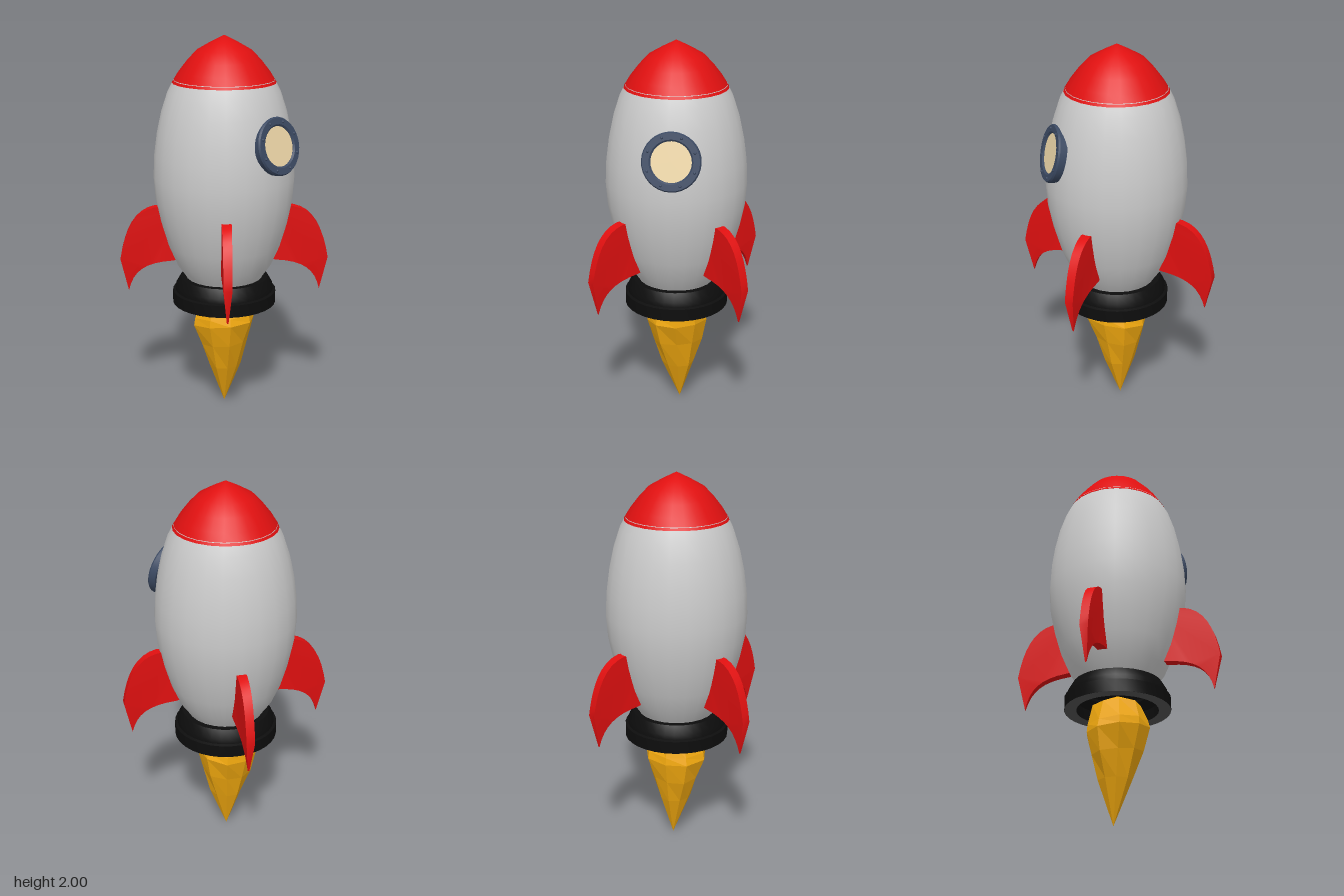
import * as THREE from 'three';
import { toCreasedNormals } from 'three/addons/utils/BufferGeometryUtils.js';

const mat = (color, extra = {}) => new THREE.MeshStandardMaterial({ color, ...extra });
const grey = mat(0xcccccc, { side: THREE.DoubleSide });
const red = mat(0xe01010);
const black = mat(0x0d0d0d, { side: THREE.DoubleSide });
const darkGrey = mat(0x555555);
const navy = mat(0x3c4a63);
const cream = mat(0xf0d9aa);
const orange = mat(0xf2a90f, { flatShading: true });

function part(parent, name, geometry, material) {
  const mesh = new THREE.Mesh(geometry, material);
  mesh.name = name;
  parent.add(mesh);
  return mesh;
}

// Revolved profile of [radius, height] pairs, listed so outer walls run upward
function lathe(points, segments, crease) {
  const g = new THREE.LatheGeometry(points.map(([r, y]) => new THREE.Vector2(r, y)), segments);
  return crease ? toCreasedNormals(g, crease) : g;
}

// Curved swept fin in its own radius/height plane, thinning toward the tip
function finGeometry() {
  const s = new THREE.Shape();
  s.moveTo(0.22, 1.12);
  s.lineTo(0.36, 1.12);
  s.bezierCurveTo(0.47, 1.10, 0.52, 0.99, 0.545, 0.84);
  s.lineTo(0.505, 0.66);
  s.bezierCurveTo(0.48, 0.77, 0.42, 0.82, 0.27, 0.83);
  s.lineTo(0.22, 0.84);
  s.closePath();
  const g = new THREE.ExtrudeGeometry(s, { depth: 1, bevelEnabled: false, curveSegments: 8 });
  g.translate(0, 0, -0.5);
  const p = g.attributes.position;
  for (let i = 0; i < p.count; i++) {
    const byHeight = THREE.MathUtils.clamp((p.getY(i) - 0.62) / 0.22, 0.1, 1);
    const byRadius = 1 - 0.7 * Math.max(0, p.getX(i) - 0.3);
    p.setZ(i, p.getZ(i) * 0.052 * byHeight * byRadius);
  }
  return toCreasedNormals(g, 0.6);
}

// Faceted teardrop with slightly uneven sides and a tip that drifts off centre
function flameGeometry() {
  const g = lathe([[0, 0.005], [0.085, 0.23], [0.13, 0.37], [0.165, 0.49], [0.158, 0.53], [0.125, 0.62], [0, 0.68]], 9);
  const p = g.attributes.position;
  for (let i = 0; i < p.count; i++) {
    const x = p.getX(i), y = p.getY(i), z = p.getZ(i);
    const k = 1 + 0.05 * Math.sin(3 * Math.atan2(z, x) + y * 14);
    const lean = 1 - Math.min(y / 0.5, 1);
    p.setXYZ(i, x * k - 0.01 * lean, y + 0.12 * x * (y > 0.3 && y < 0.6 ? 1 : 0), z * k - 0.02 * lean);
  }
  return g;
}

export function createModel() {
  const rocket = new THREE.Group();
  rocket.name = 'rocket';

  // Hull and nose
  part(rocket, 'body', lathe([
    [0.19, 0.72], [0.205, 0.75], [0.25, 0.815], [0.295, 0.92], [0.33, 1.04], [0.355, 1.16], [0.364, 1.28],
    [0.358, 1.4], [0.343, 1.51], [0.319, 1.62], [0.286, 1.72], [0.255, 1.78],
  ], 24), grey);
  part(rocket, 'noseCone', lathe([
    [0, 1.765], [0.264, 1.765], [0.23, 1.82], [0.187, 1.875], [0.14, 1.925], [0.07, 1.965], [0, 2],
  ], 24, 0.9), red);

  // Engine nozzle, hollow below
  part(rocket, 'nozzle', lathe([
    [0.272, 0.6], [0.272, 0.665], [0.258, 0.67], [0.256, 0.695], [0.23, 0.74], [0.17, 0.74],
    [0.17, 0.7], [0.21, 0.66], [0.21, 0.6],
  ], 32, 0.5), black);
  part(rocket, 'nozzleRim', lathe([[0.21, 0.6], [0.272, 0.599]], 32), darkGrey);
  const cap = part(rocket, 'nozzleInside', new THREE.CircleGeometry(0.2, 24), black);
  cap.rotation.x = Math.PI / 2;
  cap.position.y = 0.715;
  part(rocket, 'flame', flameGeometry(), orange);

  // Four fins
  const fin = finGeometry();
  for (let i = 0; i < 4; i++) {
    part(rocket, 'fin', fin, red).rotation.y = THREE.MathUtils.degToRad(30) + i * Math.PI / 2;
  }

  // Porthole, built facing +z, then turned to sit on the hull
  const porthole = new THREE.Group();
  porthole.name = 'porthole';
  const frame = part(porthole, 'windowFrame', lathe([
    [0.1, -0.03], [0.143, -0.03], [0.146, 0.006], [0.14, 0.015], [0.108, 0.015], [0.1, 0.008], [0.1, -0.03],
  ], 32, 0.5), navy);
  frame.rotation.x = Math.PI / 2;
  part(porthole, 'windowGlass', new THREE.CircleGeometry(0.102, 32), cream).position.z = 0.006;
  const bolt = new THREE.SphereGeometry(0.007, 8, 6);
  for (let i = 0; i < 8; i++) {
    const a = (i + 0.5) * Math.PI / 4;
    part(porthole, 'bolt', bolt, navy).position.set(0.124 * Math.cos(a), 0.124 * Math.sin(a), 0.015);
  }
  porthole.position.set(0.338, 1.482, 0.073);
  porthole.lookAt(porthole.position.clone().add(new THREE.Vector3(0.94, 0.23, 0.27)));
  rocket.add(porthole);

  return rocket;
}
